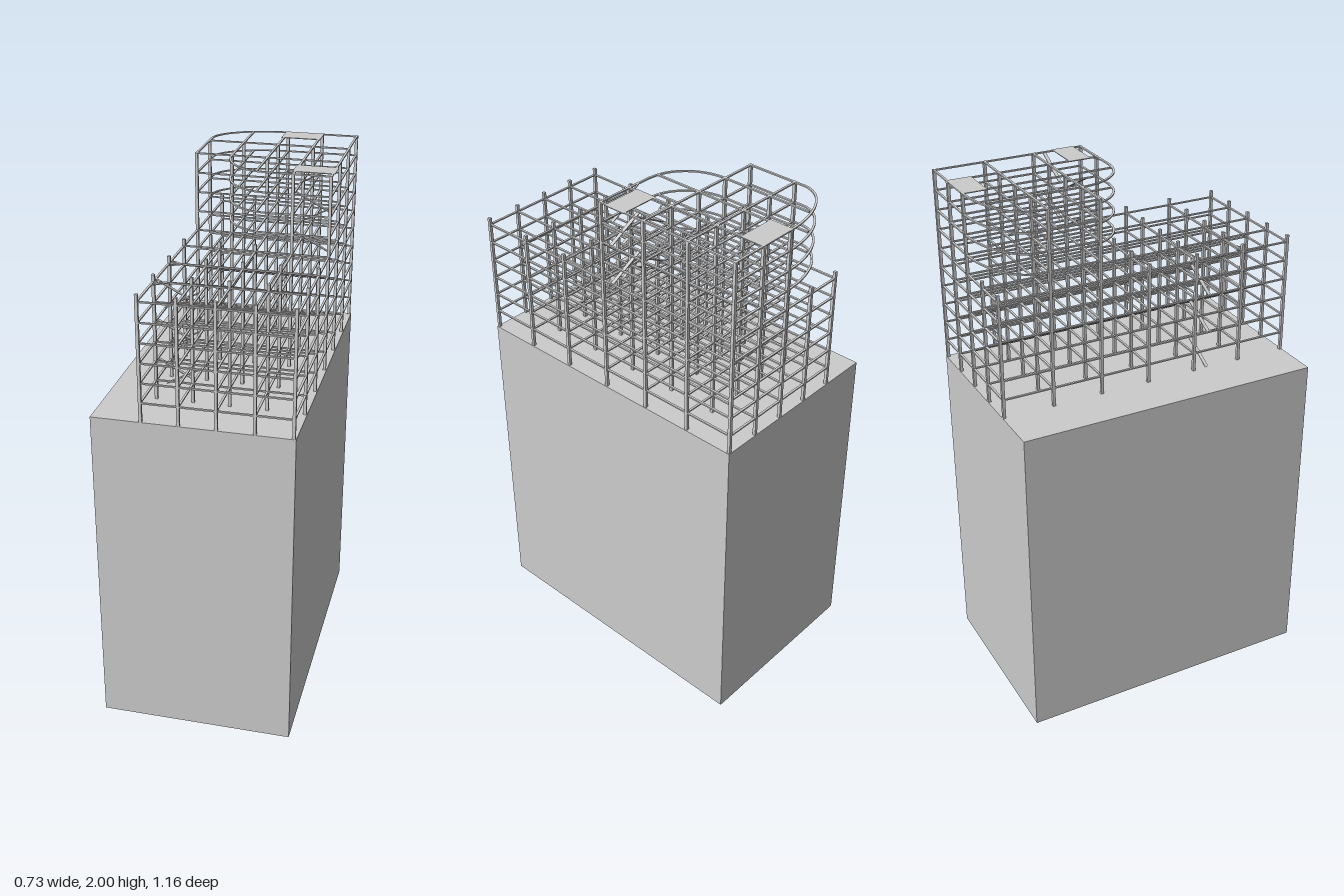
import * as THREE from 'three';

const GREY = new THREE.MeshStandardMaterial({ color: 0xcccccc, flatShading: true });
const OPEN = new THREE.MeshStandardMaterial({ color: 0xcccccc, flatShading: true, side: THREE.DoubleSide });

const XS = [-0.181, -0.047, 0.086, 0.22, 0.354];
const ZS = [-0.574, -0.383, -0.192, -0.002, 0.19, 0.382, 0.574];
const BASE = 1.265, STEP = 0.0735, LOW_TOP = 1.73;
const COL = 0.011, BEAM_W = 0.008, BEAM_H = 0.005;
const level = i => BASE + STEP * i; // floor 10 is the roof at y = 2

// Straight member between two points
function bar(name, a, b, w, h) {
  const p = new THREE.Vector3(...a), q = new THREE.Vector3(...b);
  const m = new THREE.Mesh(new THREE.BoxGeometry(w, h, p.distanceTo(q)), GREY);
  m.position.copy(p).add(q).multiplyScalar(0.5);
  m.lookAt(q);
  m.name = name;
  return m;
}

function box(name, x0, x1, y0, y1, z0, z1) {
  const m = new THREE.Mesh(new THREE.BoxGeometry(x1 - x0, y1 - y0, z1 - z0), GREY);
  m.position.set((x0 + x1) / 2, (y0 + y1) / 2, (z0 + z1) / 2);
  m.name = name;
  return m;
}

// Curved floor edge: an elliptical band in plan
function curvedBeam(cx, cz, rx, rz, a0, a1, y) {
  const s = new THREE.Shape(), w = BEAM_W / 2;
  s.absellipse(cx, cz, rx + w, rz + w, a0, a1, false, 0);
  s.absellipse(cx, cz, rx - w, rz - w, a1, a0, true, 0);
  const g = new THREE.ExtrudeGeometry(s, { depth: BEAM_H, bevelEnabled: false, curveSegments: 14 });
  g.rotateX(Math.PI / 2);
  const m = new THREE.Mesh(g, GREY);
  m.position.y = y;
  m.name = 'curvedBeam';
  return m;
}

// Zigzag stair: flights alternate between two lanes and two ends
function stair(name, first, last, xStart, xEnd, zEven, zOdd) {
  const g = new THREE.Group();
  g.name = name;
  for (let i = first; i < last; i++) {
    const up = (i - first) % 2 === 0;
    const z = up ? zEven : zOdd;
    g.add(bar('stairFlight', [up ? xStart : xEnd, level(i), z], [up ? xEnd : xStart, level(i + 1) - 0.003, z], 0.013, 0.003));
  }
  return g;
}

export function createModel() {
  const model = new THREE.Group();

  // Plinth block, open underneath
  const pg = new THREE.BoxGeometry(0.725, BASE, 1.16);
  const index = Array.from(pg.index.array);
  index.splice(18, 6); // drop the bottom face
  pg.setIndex(index);
  pg.clearGroups();
  const plinth = new THREE.Mesh(pg, OPEN);
  plinth.position.y = BASE / 2;
  plinth.name = 'plinth';
  model.add(plinth);

  // Columns: those listed per x line rise to the roof, the others stop low
  const columns = new THREE.Group();
  columns.name = 'columns';
  const tall = [[1, 2], [1, 2], [0, 1, 2], [0, 1, 2, 3], [0, 1, 2, 3]];
  XS.forEach((x, i) => ZS.forEach((z, j) => {
    const top = tall[i].includes(j) ? 2 : LOW_TOP;
    columns.add(box('column', x - COL / 2, x + COL / 2, BASE, top, z - COL / 2, z + COL / 2));
  }));
  model.add(columns);

  // Floors: full grid below, stepped and rounded plan above
  const upperX = [[XS[2], 0], [XS[0], 1], [XS[0], 2], [0.12, 3]]; // start x, z line
  const upperZ = [[-0.42, ZS[2]], [-0.545, ZS[2]], [ZS[0], -0.007], [ZS[0], ZS[3]], [ZS[0], ZS[3]]];
  for (let f = 1; f <= 10; f++) {
    const floor = new THREE.Group(), y = level(f) - BEAM_H / 2;
    floor.name = 'floor' + f;
    const alongX = (x0, z) => floor.add(bar('crossBeam', [x0, y, z], [XS[4], y, z], BEAM_W, BEAM_H));
    const alongZ = (x, z0, z1) => floor.add(bar('longBeam', [x, y, z0], [x, y, z1], BEAM_W, BEAM_H));
    if (f <= 6) {
      ZS.forEach(z => alongX(XS[0], z));
      XS.forEach(x => alongZ(x, ZS[0], ZS[6]));
    } else {
      upperX.forEach(([x0, j]) => alongX(x0, ZS[j]));
      upperZ.forEach(([z0, z1], i) => alongZ(XS[i], z0, z1));
      floor.add(curvedBeam(0.09, -0.42, 0.271, 0.154, Math.PI, Math.PI * 1.5, level(f)));
      floor.add(curvedBeam(0.12, -0.192, 0.167, 0.188, Math.PI / 2, Math.PI, level(f)));
    }
    model.add(floor);
  }

  // Stairs for the lower and upper blocks
  model.add(stair('lowerStair', 0, 6, XS[0], XS[1], 0.248, 0.353));
  model.add(stair('upperStair', 6, 10, XS[4], XS[3], -0.045, -0.149));

  // Roof canopies
  model.add(box('backCanopy', 0.077, 0.227, 1.997, 2, -0.57, -0.486));
  model.add(box('sideCanopy', 0.211, 0.3625, 1.997, 2, -0.114, -0.03));

  // Small plan braces beside the lower stair and the front curve
  const yb = level(6) - 0.002;
  [[-0.195, 0.158, -0.13, 0.194], [-0.18, 0.218, -0.13, 0.192],
    [-0.185, 0.335, -0.155, 0.4], [-0.18, 0.417, -0.13, 0.384]]
    .forEach(([x0, z0, x1, z1]) => model.add(bar('brace', [x0, yb, z0], [x1, yb, z1], 0.005, 0.004)));
  model.add(bar('brace', [0.175, 1.998, -0.004], [0.215, 1.998, -0.022], 0.005, 0.004));

  return model;
}
